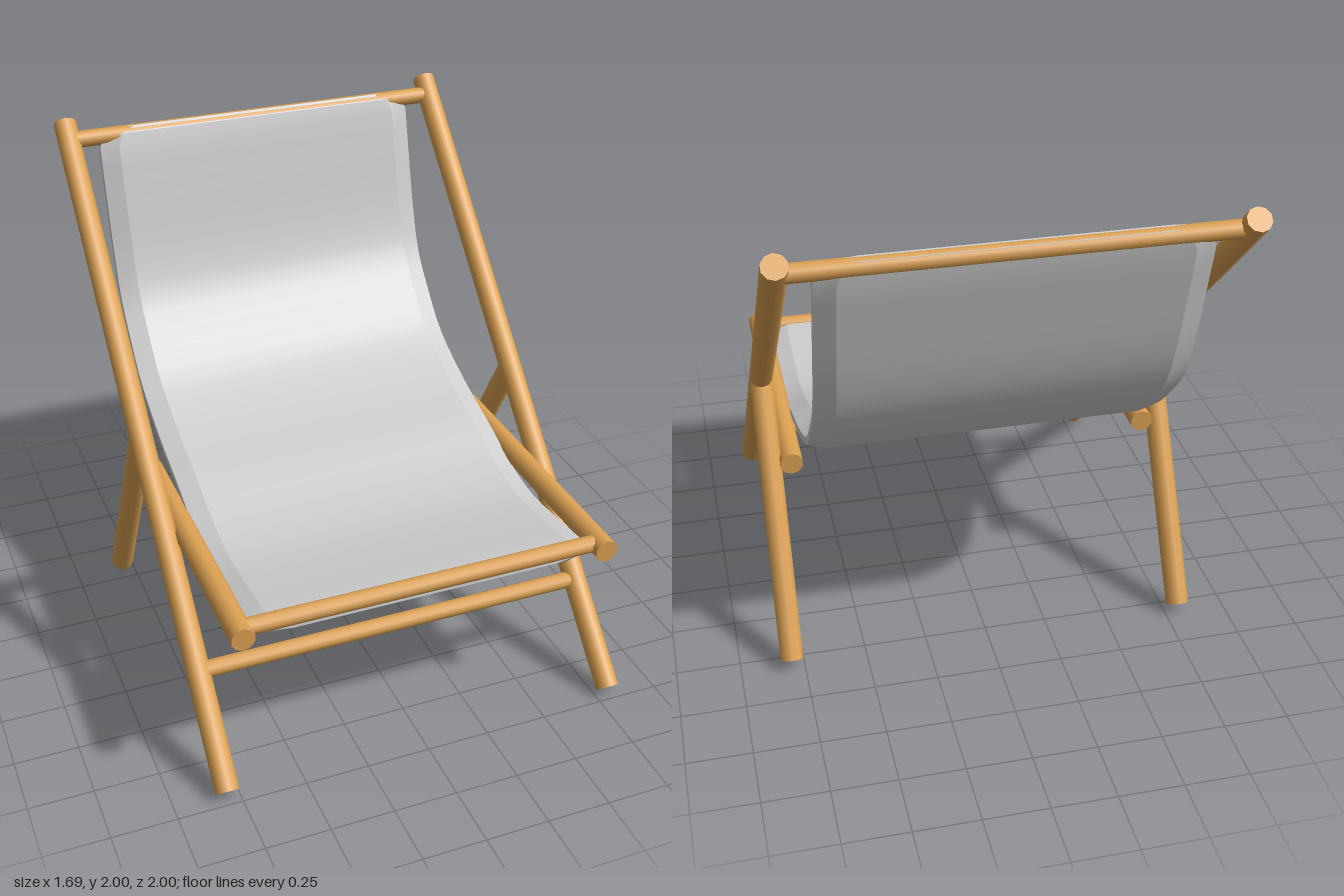
import * as THREE from 'three';
import { toCreasedNormals } from 'three/addons/utils/BufferGeometryUtils.js';

const wood = new THREE.MeshStandardMaterial({ color: 0xdba052 });
const fabric = new THREE.MeshStandardMaterial({ color: 0xcccccc });

// Round wooden pole between two points
function pole(name, from, to, radius) {
  const a = new THREE.Vector3(...from), b = new THREE.Vector3(...to);
  const dir = b.clone().sub(a);
  const mesh = new THREE.Mesh(new THREE.CylinderGeometry(radius, radius, dir.length(), 10), wood);
  mesh.position.copy(a).add(b).multiplyScalar(0.5);
  mesh.quaternion.setFromUnitVectors(new THREE.Vector3(0, 1, 0), dir.normalize());
  mesh.name = name;
  return mesh;
}

// Padded sling: an eight-cornered section swept along the sagging side profile
function slingGeometry() {
  const profile = [
    [1.94, -0.915], [1.68, -0.85], [1.42, -0.78], [1.25, -0.71], [1.12, -0.60], [0.985, -0.46],
    [0.86, -0.2], [0.775, 0.06], [0.7, 0.27], [0.667, 0.46], [0.685, 0.7], [0.72, 0.945],
  ];
  const curve = new THREE.CatmullRomCurve3(profile.map(([y, z]) => new THREE.Vector3(0, y, z)));
  const stations = [0, 0.01, 0.03];
  for (let i = 1; i < 30; i++) stations.push(0.03 + 0.94 * i / 30);
  stations.push(0.97, 0.99, 1);

  const positions = [], index = [], n = 8;
  stations.forEach((u, i) => {
    const p = curve.getPointAt(u), t = curve.getTangentAt(u);
    // narrow and thin the section towards both ends
    const k = Math.min(1, Math.min(u, 1 - u) / 0.03);
    const s = Math.sqrt(1 - (1 - k) ** 2);
    const w = 0.6 + 0.08 * s, f = w - 0.075;
    const h = 0.037 * (0.45 + 0.55 * s), e = h * 0.4;
    const section = [[w, -e], [w, e], [f, h], [-f, h], [-w, e], [-w, -e], [-f, -h], [f, -h]];
    for (const [x, d] of section) positions.push(x, p.y + d * t.z, p.z - d * t.y);
    if (i === 0) return;
    for (let j = 0; j < n; j++) {
      const a = (i - 1) * n + j, b = (i - 1) * n + (j + 1) % n;
      index.push(a, b, b + n, a, b + n, a + n);
    }
  });
  // end caps
  const last = (stations.length - 1) * n;
  for (let j = 1; j < n - 1; j++) {
    index.push(0, j + 1, j);
    index.push(last, last + j, last + j + 1);
  }
  const geo = new THREE.BufferGeometry();
  geo.setAttribute('position', new THREE.Float32BufferAttribute(positions, 3));
  geo.setIndex(index);
  return toCreasedNormals(geo, 0.24);
}

export function createModel() {
  const chair = new THREE.Group();
  chair.name = 'deckChair';

  // Side poles, mirrored
  for (const [side, s] of [['left', 1], ['right', -1]]) {
    chair.add(
      pole(side + 'BackRail', [s * 0.8, 0.034, 0.967], [s * 0.8, 1.966, -0.967], 0.046),
      pole(side + 'RearLeg', [s * 0.8, 0.045, -0.567], [s * 0.8, 1.01, -0.01], 0.046),
      pole(side + 'SeatRail', [s * 0.72, 0.73, -0.22], [s * 0.72, 0.73, 0.98], 0.046),
    );
  }

  // Crossbars
  chair.add(
    pole('topCrossbar', [-0.8, 1.91, -0.91], [0.8, 1.91, -0.91], 0.034),
    pole('seatFrontCrossbar', [-0.72, 0.735, 0.92], [0.72, 0.735, 0.92], 0.034),
    pole('lowerCrossbar', [-0.8, 0.355, 0.645], [0.8, 0.355, 0.645], 0.034),
  );

  // Sling seat
  const sling = new THREE.Mesh(slingGeometry(), fabric);
  sling.name = 'slingSeat';
  chair.add(sling);
  return chair;
}
